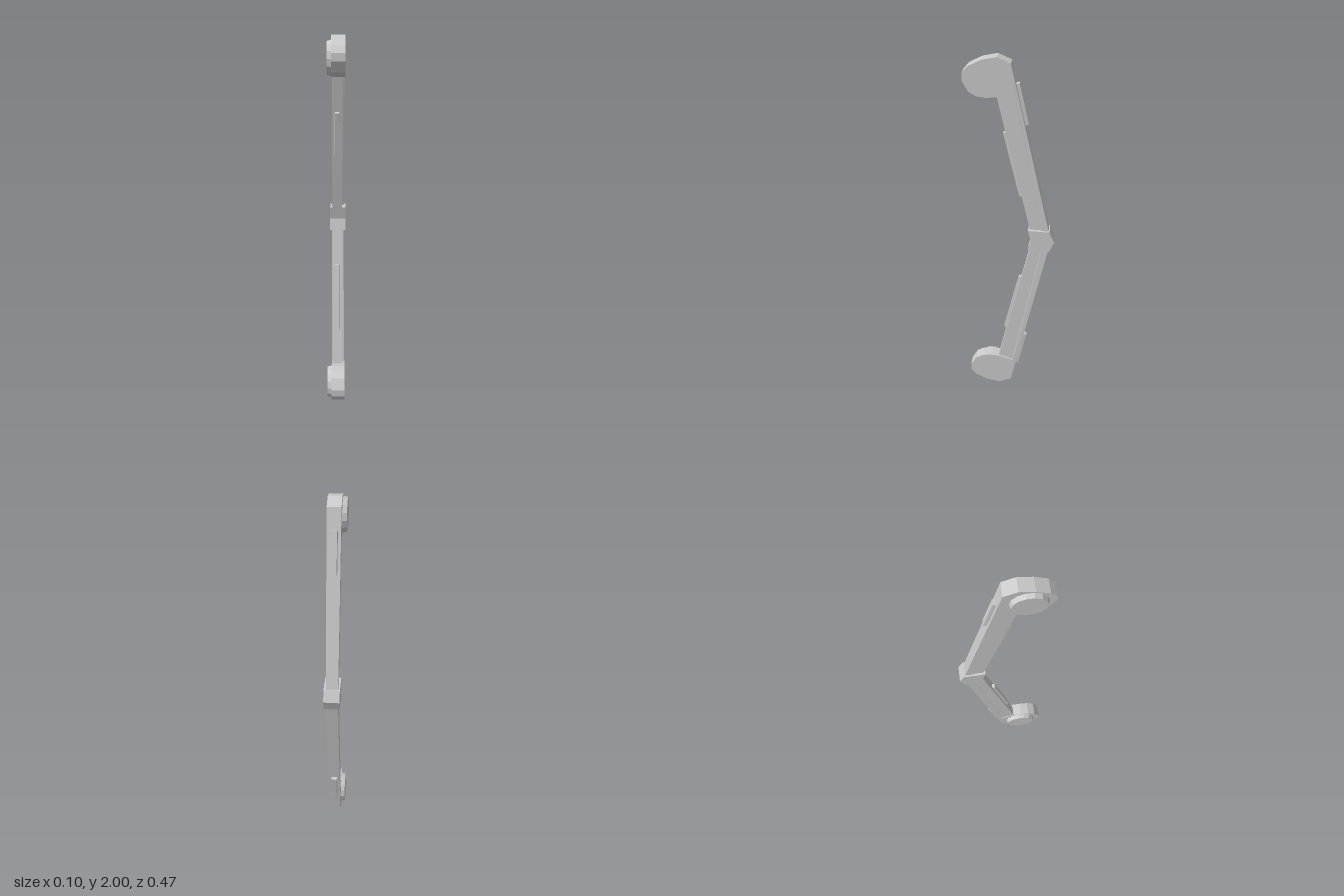
import * as THREE from 'three';

const material = new THREE.MeshStandardMaterial({ color: 0xcccccc, flatShading: true });

function addMesh(parent, name, geometry) {
  const mesh = new THREE.Mesh(geometry, material);
  mesh.name = name;
  parent.add(mesh);
  return mesh;
}

// Side profile of [z, y] points, given thickness from x0 to x1
function slab(points, x0, x1) {
  const shape = new THREE.Shape(points.map(([z, y]) => new THREE.Vector2(z, y)));
  const geometry = new THREE.ExtrudeGeometry(shape, { depth: x1 - x0, bevelEnabled: false });
  return geometry.rotateY(-Math.PI / 2).translate(x1, 0, 0);
}

// Thin pad lying on the arm, its outer face slightly smaller
function pad(width, length, depth, side) {
  const geometry = new THREE.BoxGeometry(width, length, depth);
  const p = geometry.attributes.position;
  for (let i = 0; i < p.count; i++) {
    if (p.getZ(i) * side > 0) {
      p.setX(i, p.getX(i) * 0.75);
      p.setY(i, p.getY(i) * 0.98);
    }
  }
  geometry.computeVertexNormals();
  return geometry;
}

function createLimb(name, s) {
  const limb = new THREE.Group();
  limb.name = name;
  const mirror = (points) => points.map(([z, y]) => [z, 1 + s * y]);

  // Rounded tip running into the rail along the back of the arm
  const rail = slab(mirror([
    [0.065, 1.0], [0.14, 0.985], [0.205, 0.953], [0.235, 0.92], [0.237, 0.88],
    [0.205, 0.825], [0.165, 0.803], [0.12, 0.797], [0.065, 0.803], [-0.003, 0.83],
    [-0.167, 0], [-0.218, 0], [-0.003, 0.97],
  ]), -0.028, 0.043);
  // The rail thins towards the grip and its inner edge is chamfered
  const p = rail.attributes.position;
  for (let i = 0; i < p.count; i++) {
    if (p.getX(i) < 0) continue;
    const y = Math.abs(p.getY(i) - 1), z = p.getZ(i);
    if (y < 0.1) p.setX(i, 0.036);
    if (y < 0.1 && z > -0.2) p.setZ(i, z - 0.013);
    if (Math.abs(y - 0.83) < 0.001 && z < 0) p.setZ(i, z - 0.01);
  }
  rail.computeVertexNormals();
  addMesh(limb, 'tipAndRail', rail);

  // Thinner web on the front of the arm
  addMesh(limb, 'armWeb', slab(mirror([
    [0.072, 0.815], [-0.02, 0.85], [-0.185, 0], [-0.119, 0],
  ]), -0.025, 0.029));

  // Round boss on the right face of the tip
  const boss = addMesh(limb, 'tipBoss', new THREE.CylinderGeometry(0.09, 0.083, 0.024, 14));
  boss.rotation.z = -Math.PI / 2;
  boss.position.set(-0.039, 1 + s * 0.89, 0.114);
  boss.rotation.z = Math.PI / 2;
  boss.geometry.rotateX(Math.PI);

  // Pads on the back and front of the arm
  const tilt = s * Math.atan(0.225);
  const backPad = addMesh(limb, 'backPad', pad(0.036, 0.22, 0.036, -1));
  backPad.position.set(0.003, 1 + s * 0.757, -0.05);
  backPad.rotation.x = tilt;
  const frontPad = addMesh(limb, 'frontPad', pad(0.03, 0.37, 0.03, 1));
  frontPad.position.set(0.002, 1 + s * 0.432, -0.017);
  frontPad.rotation.x = s * Math.atan(0.236);
  return limb;
}

export function createModel() {
  const model = new THREE.Group();
  model.name = 'bentBow';
  model.add(createLimb('upperLimb', 1), createLimb('lowerLimb', -1));

  // Chevron-shaped collar joining the two limbs
  addMesh(model, 'centreCollar', slab([
    [-0.095, 1.065], [-0.11, 1.0], [-0.095, 0.935],
    [-0.21, 0.94], [-0.236, 1.0], [-0.21, 1.06],
  ], -0.037, 0.048));
  return model;
}
